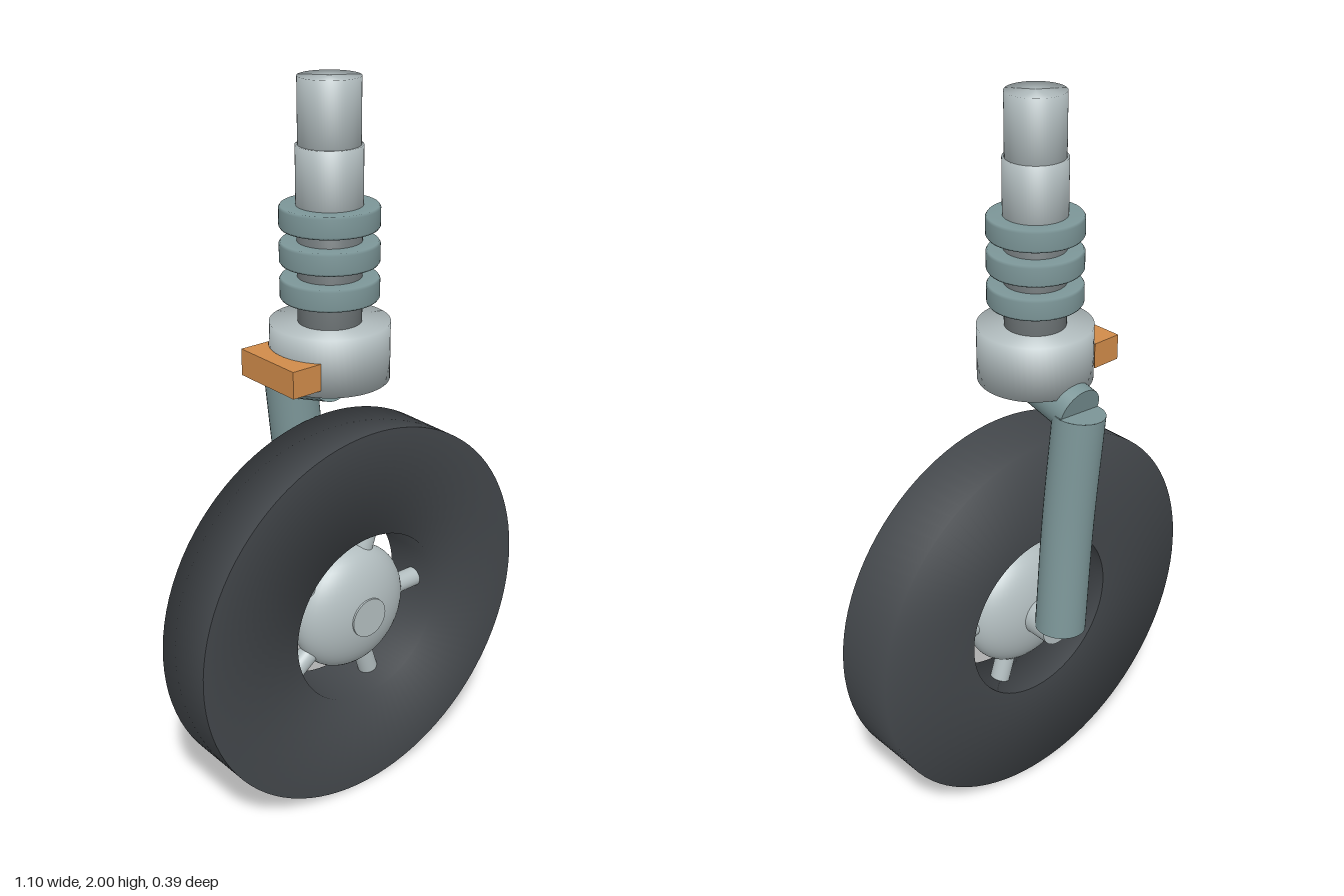
import * as THREE from 'three';

const mat = (name, color, side = THREE.FrontSide) => {
  const m = new THREE.MeshStandardMaterial({ color, side });
  m.name = name;
  return m;
};

export function createModel() {
  const root = new THREE.Group();
  root.name = 'landingGearWheel';

  const steel = mat('light steel', 0xb3bec0);
  const teal = mat('grey teal', 0x7c9698);
  const iron = mat('dark steel', 0x757c7e);
  const rubber = mat('dark rubber', 0x43474b);
  const orange = mat('orange', 0xd08b4a);

  const add = (name, geo, material, parent = root) => {
    const mesh = new THREE.Mesh(geo, material);
    mesh.name = name;
    parent.add(mesh);
    return mesh;
  };
  const lathe = (pts, seg = 64) =>
    new THREE.LatheGeometry(pts.map(([x, y]) => new THREE.Vector2(x, y)), seg);
  // Cylinder running between two points
  const rod = (name, a, b, r, material, parent) => {
    const from = new THREE.Vector3(...a), dir = new THREE.Vector3(...b).sub(from);
    const mesh = add(name, new THREE.CylinderGeometry(r, r, dir.length(), 32), material, parent);
    mesh.position.copy(from).addScaledVector(dir, 0.5);
    mesh.quaternion.setFromUnitVectors(new THREE.Vector3(0, 1, 0), dir.normalize());
    return mesh;
  };

  // Upper strut: stepped column, bellows rings and collar
  const strut = new THREE.Group();
  strut.name = 'strut';
  strut.position.set(-0.06, 0, 0.042);
  root.add(strut);
  const drum = (name, r, y0, y1, material) =>
    add(name, lathe([[0, y0], [r, y0], [r, y1], [0, y1]]), material, strut);
  drum('topSleeve', 0.077, 1.83, 2.0, steel);
  drum('upperSleeve', 0.083, 1.67, 1.84, steel);
  drum('innerColumn', 0.081, 1.38, 1.68, iron);
  drum('collar', 0.153, 1.25, 1.4, steel);
  for (const y of [1.488, 1.578, 1.667]) {
    add('bellowsRing', lathe([
      [0.078, y - 0.028], [0.121, y - 0.028], [0.125, y - 0.022],
      [0.125, y + 0.022], [0.121, y + 0.028], [0.078, y + 0.028],
    ]), teal, strut);
  }

  // Side block, hollowed to fit around the collar
  const shape = new THREE.Shape();
  shape.moveTo(-0.2, -0.105);
  shape.lineTo(-0.114, -0.105);
  shape.absarc(0, 0, 0.155, Math.PI + 0.744, Math.PI - 0.744, true);
  shape.lineTo(-0.2, 0.105);
  const blockGeo = new THREE.ExtrudeGeometry(shape, { depth: 0.07, bevelEnabled: false, curveSegments: 16 });
  blockGeo.rotateX(Math.PI / 2);
  add('sideBlock', blockGeo, orange, strut).position.y = 1.34;

  // Knuckle and the arm carrying the wheel
  rod('knuckle', [-0.06, 1.25, 0.045], [-0.06, 1.207, -0.127], 0.067, teal, root);
  const path = new THREE.CatmullRomCurve3([
    new THREE.Vector3(-0.058, 1.205, -0.127),
    new THREE.Vector3(-0.03, 0.88, -0.12),
    new THREE.Vector3(0, 0.557, -0.127),
  ]);
  add('arm', new THREE.TubeGeometry(path, 24, 0.07, 32), teal);
  for (const [t, s] of [[0, -1], [1, 1]]) {
    const cap = add('armCap', new THREE.CircleGeometry(0.07, 32), teal);
    cap.position.copy(path.getPoint(t));
    cap.quaternion.setFromUnitVectors(new THREE.Vector3(0, 0, 1), path.getTangent(t).multiplyScalar(s));
  }

  // Wheel: thick flat tyre, spokes, domed hub and axle
  const wheel = new THREE.Group();
  wheel.name = 'wheel';
  wheel.position.set(0, 0.55, 0.043);
  root.add(wheel);
  const rIn = 0.248, rOut = 0.55, w = 0.092;
  const tyreParts = {
    tyreFrontAndBore: [[rOut, w], [rIn, w], [rIn, -w]],
    tyreBackAndTread: [[rIn, -w], [rOut, -w], [rOut, w]],
  };
  for (const [name, pts] of Object.entries(tyreParts)) {
    add(name, lathe(pts, 96).rotateX(Math.PI / 2), rubber, wheel);
  }
  for (let i = 0; i < 5; i++) {
    const a = (i / 5) * Math.PI * 2, c = Math.cos(a), s = Math.sin(a);
    rod('spoke', [c * 0.1, s * 0.1, 0], [c * 0.26, s * 0.26, 0], 0.028, steel, wheel);
  }
  add('hub', new THREE.SphereGeometry(0.182, 48, 24).scale(1, 1, 0.52), steel, wheel);
  rod('axle', [0, 0, -0.163], [0, 0, 0.095], 0.057, steel, wheel);

  return root;
}
